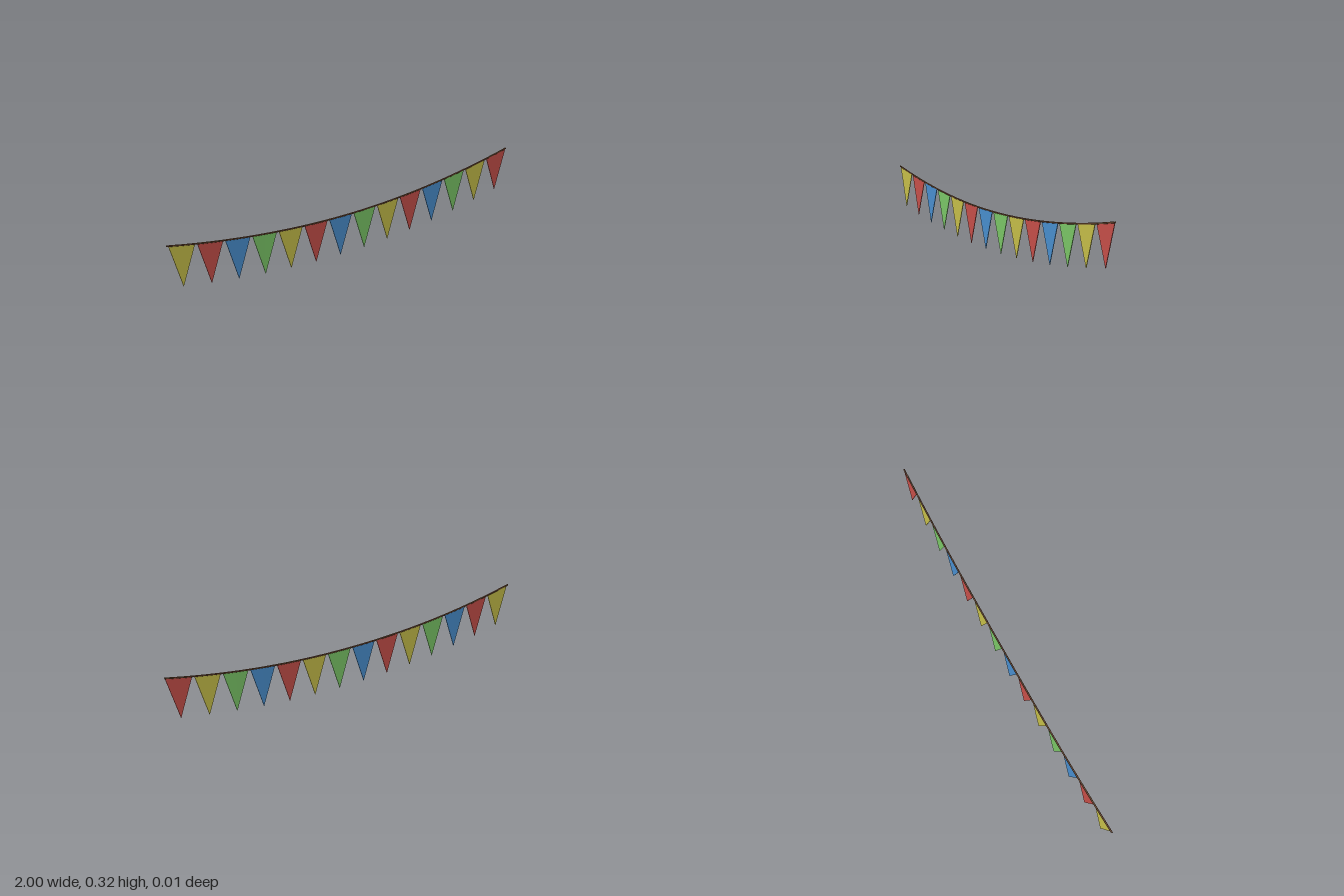
import * as THREE from 'three';

const COUNT = 14, PITCH = 0.143, WIDTH = 0.132, DROP = 0.19, THICK = 0.003;
const COLORS = [0xc8c04a, 0xc8504a, 0x4a90d0, 0x7cc868];

// Sagging line of the cord, with a slight sideways drift
const ropeY = (x) => 0.193 + 0.101 * (x + 0.11) ** 2;
const ropeZ = (x) => 0.001 * Math.cos(x * 5) + 0.002 * x;

function makeFlag(x, material) {
  const l = x - WIDTH / 2, r = x + WIDTH / 2;
  const shape = new THREE.Shape();
  shape.moveTo(l, ropeY(l));
  shape.lineTo(x, ropeY(x) - DROP);
  shape.lineTo(r, ropeY(r));
  shape.lineTo(x, ropeY(x));
  const geo = new THREE.ExtrudeGeometry(shape, { depth: THICK, bevelEnabled: false });
  // Lean the cloth from the cord down to a common hanging plane
  const p = geo.attributes.position;
  for (let i = 0; i < p.count; i++) {
    const px = p.getX(i);
    const t = Math.min(1, Math.max(0, (ropeY(px) - p.getY(i)) / DROP));
    p.setZ(i, p.getZ(i) - THICK / 2 + THREE.MathUtils.lerp(ropeZ(px), -0.001, t));
  }
  geo.computeVertexNormals();
  return new THREE.Mesh(geo, material);
}

export function createModel() {
  const group = new THREE.Group();
  group.name = 'bunting';

  // Cord
  const points = [];
  for (let i = 0; i <= 28; i++) {
    const x = -1 + i / 14;
    points.push(new THREE.Vector3(x, ropeY(x), ropeZ(x)));
  }
  const path = new THREE.CatmullRomCurve3(points);
  const cordMat = new THREE.MeshStandardMaterial({ color: 0x6e4a32 });
  const cord = new THREE.Mesh(new THREE.TubeGeometry(path, 56, 0.004, 8), cordMat);
  cord.name = 'cord';
  group.add(cord);

  // Cord end caps
  for (const [x, turn] of [[-1, -Math.PI / 2], [1, Math.PI / 2]]) {
    const cap = new THREE.Mesh(new THREE.CircleGeometry(0.004, 8), cordMat);
    cap.position.set(x, ropeY(x), ropeZ(x));
    cap.rotation.y = turn;
    cap.name = 'cordEnd';
    group.add(cap);
  }

  // Triangular flags in four repeating colours
  const mats = COLORS.map((color) => new THREE.MeshStandardMaterial({ color }));
  for (let i = 0; i < COUNT; i++) {
    const flag = makeFlag(0.003 + (i - (COUNT - 1) / 2) * PITCH, mats[i % 4]);
    flag.name = 'flag' + (i + 1);
    group.add(flag);
  }
  return group;
}
